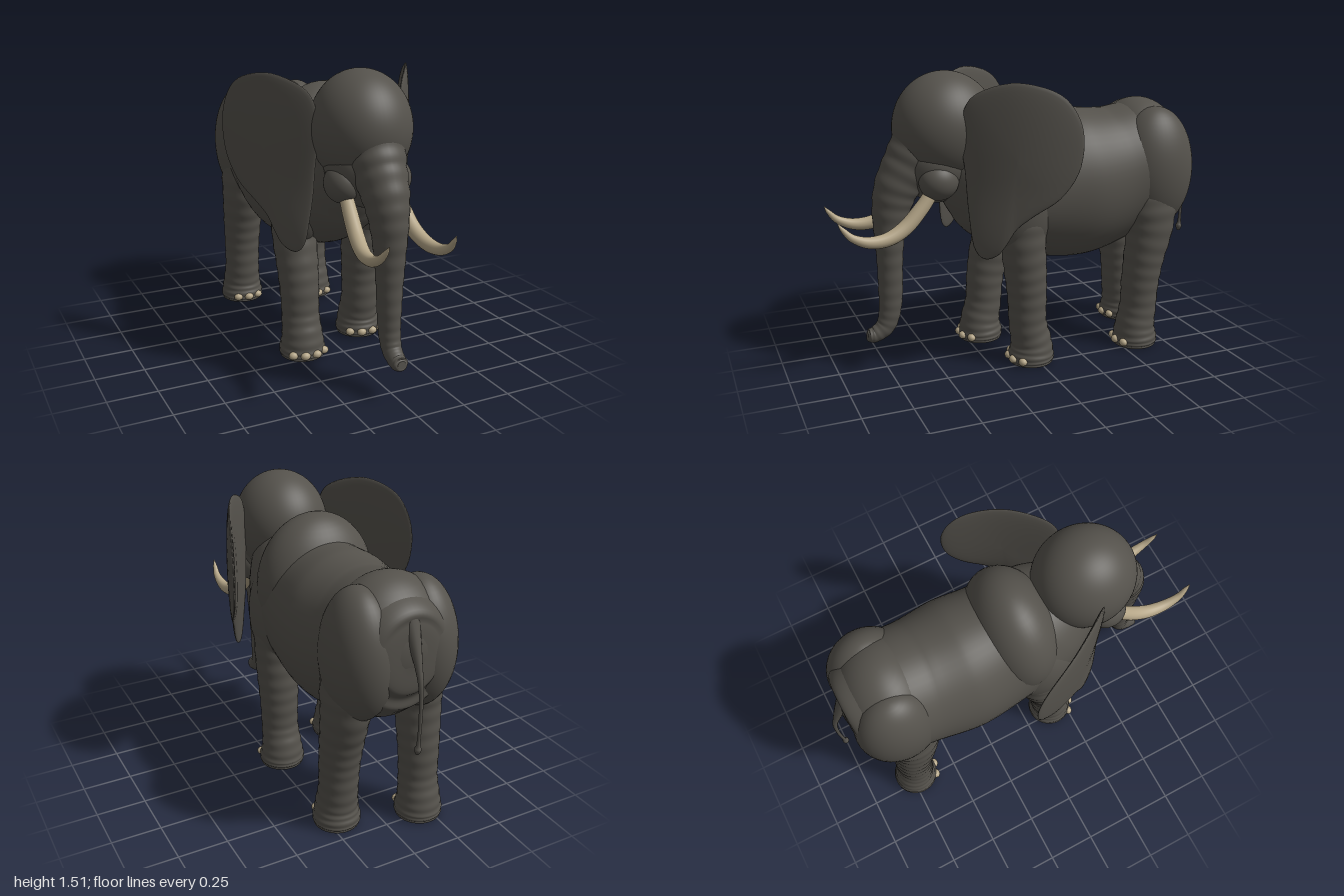
import * as THREE from 'three';

const skin = new THREE.MeshStandardMaterial({ color: 0x55524c });
skin.name = 'greySkin';
const ivory = new THREE.MeshStandardMaterial({ color: 0xb5a688 });
ivory.name = 'ivory';

const V = (x, y, z) => new THREE.Vector3(x, y, z);

// Skins a list of closed rings and closes both ends with flat caps
function skinRings(rings) {
  const n = rings[0].length, pos = [], idx = [];
  rings.forEach(r => r.forEach(p => pos.push(p.x, p.y, p.z)));
  for (let i = 0; i < rings.length - 1; i++) {
    for (let j = 0; j < n; j++) {
      const a = i * n + j, b = i * n + (j + 1) % n;
      idx.push(a, b, a + n, b, b + n, a + n);
    }
  }
  [rings[0], rings[rings.length - 1]].forEach((ring, end) => {
    const start = pos.length / 3, c = V(0, 0, 0);
    ring.forEach(p => { c.addScaledVector(p, 1 / n); pos.push(p.x, p.y, p.z); });
    pos.push(c.x, c.y, c.z);
    for (let j = 0; j < n; j++) {
      const a = start + j, b = start + (j + 1) % n;
      idx.push(start + n, end ? a : b, end ? b : a);
    }
  });
  const geo = new THREE.BufferGeometry();
  geo.setAttribute('position', new THREE.Float32BufferAttribute(pos, 3));
  geo.setIndex(idx);
  geo.computeVertexNormals();
  return geo;
}

// Sweeps an ellipse along sections [x, y, z, sideRadius, otherRadius], with optional wrinkles
function sweep(sections, steps, sides, wrinkles = 0, depth = 0) {
  const path = new THREE.CatmullRomCurve3(sections.map(s => V(s[0], s[1], s[2])), false, 'catmullrom');
  const size = new THREE.CatmullRomCurve3(sections.map(s => V(s[3], s[4] ?? s[3], 0)), false, 'catmullrom');
  const rings = [];
  for (let i = 0; i <= steps; i++) {
    const t = i / steps, c = path.getPoint(t), r = size.getPoint(t), T = path.getTangent(t);
    const S = V(1, 0, 0).addScaledVector(T, -T.x).normalize();
    const B = V(0, 0, 0).crossVectors(T, S);
    const k = 1 + depth * Math.sin(t * wrinkles * Math.PI * 2);
    const ring = [];
    for (let j = 0; j < sides; j++) {
      const a = j / sides * Math.PI * 2;
      ring.push(c.clone()
        .addScaledVector(S, Math.cos(a) * Math.max(r.x, 0.002) * k)
        .addScaledVector(B, Math.sin(a) * Math.max(r.y, 0.002) * k));
    }
    rings.push(ring);
  }
  return skinRings(rings);
}

// Ear: a thin lens with a curved outline, flaring out and back from the head
function earGeometry(side) {
  const outline = new THREE.CatmullRomCurve3([
    [0.40, 1.22], [0.385, 1.36], [0.33, 1.44], [0.2, 1.49], [0.07, 1.473], [-0.03, 1.42],
    [-0.095, 1.32], [-0.115, 1.2], [-0.09, 1.06], [-0.01, 0.94], [0.1, 0.86], [0.18, 0.79],
    [0.225, 0.71], [0.265, 0.65], [0.32, 0.63], [0.36, 0.69], [0.375, 0.85], [0.385, 1.05],
  ].map(p => V(0, p[1], p[0])), true, 'catmullrom').getPoints(72).slice(0, 72);
  const rings = [];
  for (let i = 0; i <= 20; i++) {
    const a = 0.02 + i / 20 * (Math.PI - 0.04), s = Math.sin(a), t = Math.cos(a) * 0.024;
    rings.push(outline.map(p => {
      const z = 0.17 + (p.z - 0.17) * s, y = 1.12 + (p.y - 1.12) * s;
      const back = 0.4 - z;
      const x = 0.215 + back * 0.56 + 0.04 * Math.sin(back / 0.52 * Math.PI)
        + 0.02 * THREE.MathUtils.smoothstep(1.0 - y, 0, 0.35);
      return V(side * (x + t * 0.87), y, z + t * 0.5);
    }));
  }
  return skinRings(side < 0 ? rings.reverse() : rings);
}

export function createModel() {
  const group = new THREE.Group();
  const add = (name, geo, mat = skin) => {
    const m = new THREE.Mesh(geo, mat);
    m.name = name;
    group.add(m);
    return m;
  };
  const blob = (name, c, r, mat = skin, seg = 40) => {
    const m = add(name, new THREE.SphereGeometry(1, seg, Math.round(seg * 0.7)), mat);
    m.position.set(...c);
    m.scale.set(...r);
    return m;
  };

  // Torso, from rump to neck
  add('torso', sweep([
    [0, 1.0, -0.915, 0.03, 0.04], [0, 1.0, -0.9, 0.16, 0.18], [0, 1.0, -0.84, 0.245, 0.27],
    [0, 0.98, -0.7, 0.3, 0.335], [0, 0.93, -0.52, 0.312, 0.365], [0, 0.9, -0.3, 0.335, 0.4],
    [0, 0.915, -0.08, 0.315, 0.385], [0, 0.97, 0.1, 0.3, 0.36], [0, 1.04, 0.23, 0.265, 0.3],
    [0, 1.12, 0.36, 0.19, 0.2],
  ], 80, 56));
  blob('shoulders', [0, 1.03, 0.01], [0.315, 0.375, 0.225]);
  blob('rump', [0, 1.02, -0.68], [0.29, 0.312, 0.24]);

  // Head and jaw
  blob('head', [0, 1.24, 0.41], [0.245, 0.28, 0.265], skin, 56);
  blob('lowerHead', [0, 1.07, 0.46], [0.2, 0.18, 0.19]);
  blob('jaw', [0, 0.97, 0.46], [0.11, 0.11, 0.13]);

  // Trunk with wrinkles and a forward curled tip
  add('trunk', sweep([
    [0, 1.33, 0.47, 0.15, 0.12], [0, 1.2, 0.527, 0.155, 0.138], [0, 1.08, 0.595, 0.133, 0.13],
    [0, 0.96, 0.665, 0.112, 0.113], [0, 0.84, 0.7, 0.092, 0.095], [0, 0.7, 0.712, 0.077, 0.075],
    [0, 0.56, 0.715, 0.066, 0.065], [0, 0.42, 0.717, 0.058, 0.062], [0, 0.31, 0.725, 0.053, 0.056],
    [0, 0.235, 0.75, 0.048, 0.05], [0, 0.197, 0.8, 0.043, 0.042], [0, 0.192, 0.835, 0.038, 0.035],
    [0, 0.193, 0.847, 0.022, 0.02],
  ], 170, 32, 21, 0.016));

  // Tail with a small tuft
  add('tail', sweep([
    [0, 1.2, -0.85, 0.05], [0, 1.09, -0.905, 0.032], [0, 0.98, -0.95, 0.018],
    [0, 0.88, -0.978, 0.012], [0, 0.74, -0.985, 0.009], [0, 0.61, -0.98, 0.009],
    [0, 0.575, -0.977, 0.017], [0, 0.55, -0.975, 0.008],
  ], 48, 14));

  for (const side of [1, -1]) {
    const label = side > 0 ? 'left' : 'right';
    add(label + 'Ear', earGeometry(side));
    blob(label + 'Cheek', [side * 0.137, 1.0, 0.49], [0.086, 0.095, 0.1]);
    blob(label + 'Hip', [side * 0.16, 0.97, -0.7], [0.173, 0.33, 0.215]);
    blob(label + 'Shoulder', [side * 0.19, 0.87, 0.08], [0.135, 0.29, 0.18]);

    // Tusk, curving forward and up to a point
    add(label + 'Tusk', sweep([
      [0.135, 0.94, 0.53, 0.034], [0.14, 0.87, 0.585, 0.037], [0.15, 0.79, 0.665, 0.038],
      [0.165, 0.745, 0.755, 0.035], [0.175, 0.74, 0.85, 0.029], [0.178, 0.77, 0.93, 0.02],
      [0.172, 0.815, 0.975, 0.012], [0.168, 0.848, 0.998, 0.002],
    ].map(([x, ...rest]) => [side * x, ...rest]), 48, 20), ivory);

    // Wrinkled legs in a walking stance, with toenails
    const legs = [
      ['FrontLeg', side > 0 ? 0.025 : 0.165, side > 0 ? 0.045 : 0.145, 0.07, 0.11, 0.122, 4],
      ['HindLeg', side > 0 ? -0.595 : -0.72, side > 0 ? -0.61 : -0.705, -0.665, 0.11, 0.15, 3],
    ];
    for (const [name, zFoot, zShin, zTop, rMid, rTop, nails] of legs) {
      const x = side * 0.2;
      add(label + name, sweep([
        [x, 0.005, zFoot, 0.113], [x, 0.04, zFoot, 0.12], [x, 0.11, zFoot, 0.108],
        [x, 0.22, zShin, 0.099], [x, 0.36, zShin * 0.85 + zTop * 0.15, 0.102],
        [x, 0.5, zShin * 0.5 + zTop * 0.5, 0.109, rMid],
        [x, 0.66, zTop, 0.115, (rMid + rTop) / 2], [side * 0.19, 0.82, zTop, 0.12, rTop],
        [side * 0.17, 0.98, zTop, 0.09, rTop * 0.75],
      ], 120, 32, 15, 0.014));
      for (let i = 0; i < nails; i++) {
        const a = (i - (nails - 1) / 2) * 0.54;
        blob(label + name + 'Toenail', [x + Math.sin(a) * 0.118, 0.038, zFoot + Math.cos(a) * 0.118],
          [0.026, 0.021, 0.022], ivory, 16);
      }
    }
  }
  return group;
}
